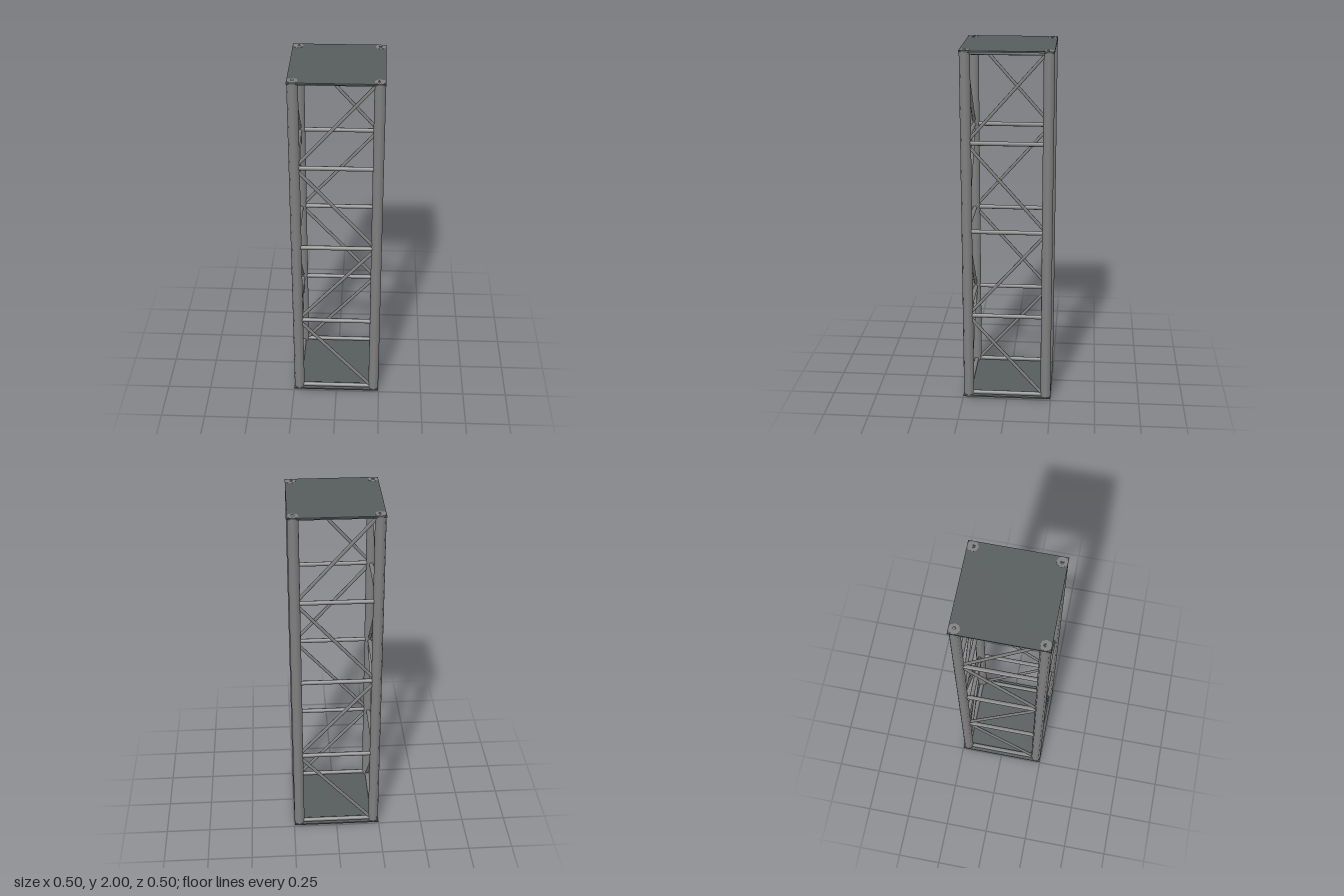
import * as THREE from 'three';

const HALF = 0.219;                 // leg axis offset from the centre
const BOTTOM = 0.008, TOP = 1.995;  // leg ends
const PANELS = 4;

const steel = new THREE.MeshStandardMaterial({ color: 0x808080 });
steel.name = 'steel grey';
const plateSteel = new THREE.MeshStandardMaterial({ color: 0x575c5c });
plateSteel.name = 'dark plate grey';

// Round bar between two points
function bar(name, a, b, radius, sides) {
  const dir = new THREE.Vector3().subVectors(b, a);
  const mesh = new THREE.Mesh(new THREE.CylinderGeometry(radius, radius, dir.length(), sides), steel);
  mesh.name = name;
  mesh.position.addVectors(a, b).multiplyScalar(0.5);
  mesh.quaternion.setFromUnitVectors(new THREE.Vector3(0, 1, 0), dir.normalize());
  return mesh;
}

// One side of the tower: its corner leg, rails and alternating diagonals
function createSide() {
  const side = new THREE.Group();
  const at = (x, y) => new THREE.Vector3(x, y, HALF);
  const step = (TOP - BOTTOM) / PANELS;

  side.add(bar('leg', at(HALF, BOTTOM), at(HALF, TOP), 0.029, 8));

  for (let i = 0; i <= PANELS; i++) {
    // end rails sit just inside the plates
    const y = BOTTOM + i * step + (i === 0 ? 0.017 : i === PANELS ? -0.014 : 0);
    side.add(bar('rail', at(-HALF, y), at(HALF, y), 0.0125, 8));
  }
  for (let i = 0; i < PANELS; i++) {
    const s = i % 2 ? 1 : -1;
    const y = BOTTOM + i * step;
    side.add(bar('diagonalBrace', at(-s * HALF, y), at(s * HALF, y + step), 0.0095, 6));
  }
  return side;
}

export function createModel() {
  const tower = new THREE.Group();
  tower.name = 'latticeTower';

  for (let k = 0; k < 4; k++) {
    const side = createSide();
    side.name = ['frontSide', 'leftSide', 'backSide', 'rightSide'][k];
    side.rotation.y = k * Math.PI / 2;
    tower.add(side);
  }

  // Thin square end plates, just short of the leg ends
  for (const [name, y] of [['basePlate', BOTTOM + 0.005], ['topPlate', TOP - 0.005]]) {
    const plate = new THREE.Mesh(new THREE.BoxGeometry(0.496, 0.008, 0.496), plateSteel);
    plate.name = name;
    plate.position.y = y;
    tower.add(plate);
  }
  return tower;
}
